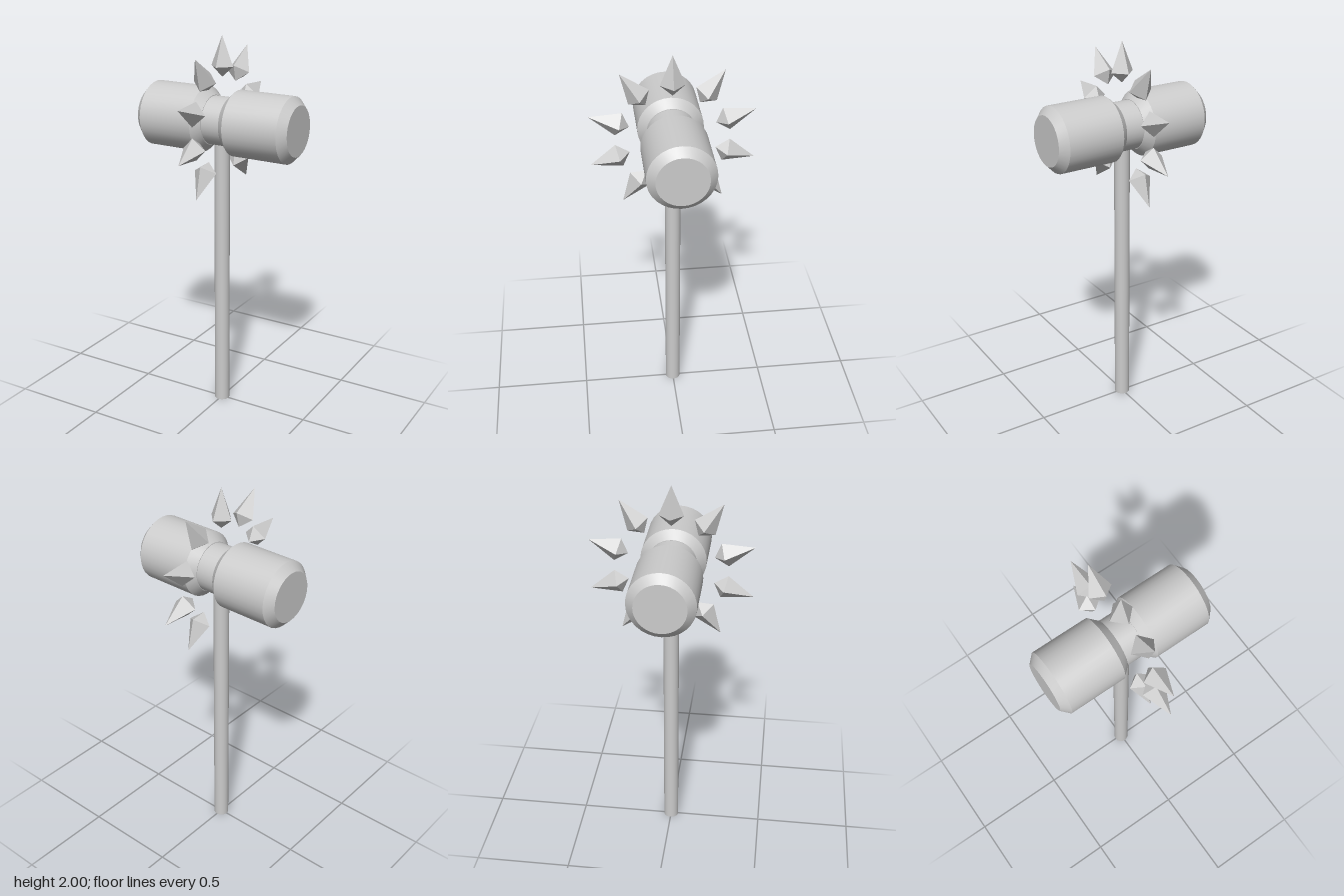
import * as THREE from 'three';
import { toCreasedNormals } from 'three/addons/utils/BufferGeometryUtils.js';

const HEAD_Y = 1.57;
const SEGMENTS = 32;

const material = new THREE.MeshStandardMaterial({ color: 0xcccccc });
const flatMaterial = new THREE.MeshStandardMaterial({ color: 0xcccccc, flatShading: true });

function addMesh(parent, name, geometry, mat = material) {
  const mesh = new THREE.Mesh(geometry, mat);
  mesh.name = name;
  parent.add(mesh);
  return mesh;
}

export function createModel() {
  const model = new THREE.Group();
  model.name = 'spikedHammer';

  // Long straight handle, ending inside the neck
  const handle = addMesh(model, 'handle', new THREE.CylinderGeometry(0.04, 0.04, 1.5, SEGMENTS));
  handle.position.y = 0.75;

  const head = new THREE.Group();
  head.name = 'head';
  head.position.y = HEAD_Y;
  model.add(head);

  // Narrow neck between the two striking blocks
  const neck = addMesh(head, 'neck', new THREE.CylinderGeometry(0.124, 0.124, 0.11, SEGMENTS));
  neck.rotation.z = Math.PI / 2;

  // Striking blocks: drums with chamfered rims, profile of [radius, distance from centre]
  const profile = [[0, 0.05], [0.127, 0.05], [0.167, 0.092], [0.167, 0.388], [0.127, 0.427], [0, 0.427]]
    .map(([r, d]) => new THREE.Vector2(r, d));
  const drum = toCreasedNormals(new THREE.LatheGeometry(profile, SEGMENTS), Math.PI / 6);
  for (const [name, side] of [['leftBlock', 1], ['rightBlock', -1]]) {
    addMesh(head, name, drum).rotation.z = -side * Math.PI / 2;
  }

  // Spikes: four-sided bipyramids, short point inwards and long point outwards
  const spikeProfile = [[0, 0.224], [0.062, 0.278], [0, 0.43]].map(([r, d]) => new THREE.Vector2(r, d));
  const spike = new THREE.LatheGeometry(spikeProfile, 4);

  // Ring of ten positions around the neck, the lowest left free for the handle
  const spikes = new THREE.Group();
  spikes.name = 'spikes';
  head.add(spikes);
  for (let i = -4; i <= 4; i++) {
    addMesh(spikes, `spike${i + 5}`, spike, flatMaterial).rotation.x = i * Math.PI / 5;
  }

  return model;
}
